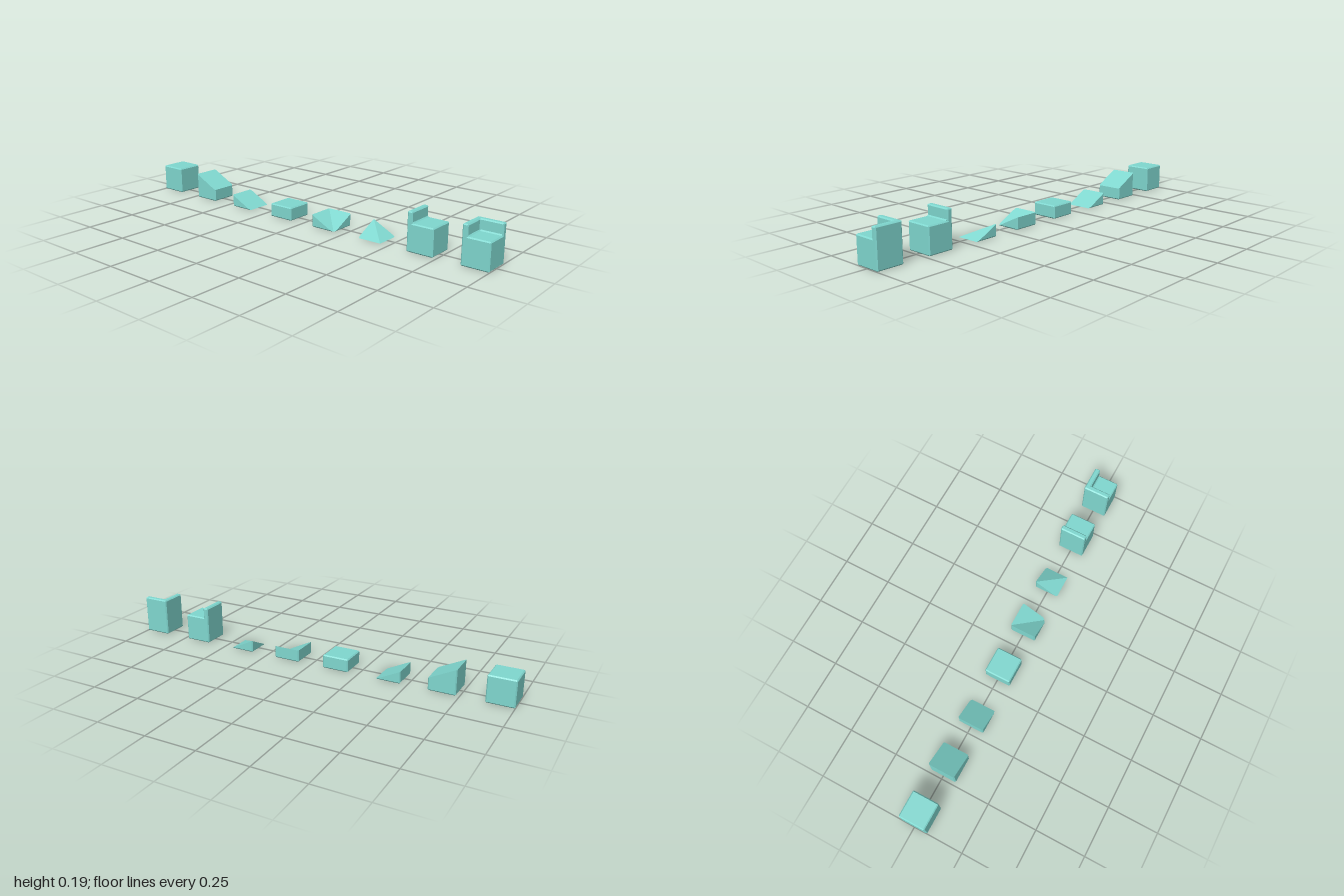
import * as THREE from 'three';
import { ConvexGeometry } from 'three/addons/geometries/ConvexGeometry.js';

const HALF = 5;      // half width of a tile; 75 units make 1
const BEVEL = 0.4;   // chamfer on every edge

// A plane [a, b, c, d] keeps the points where ax + by + cz <= d.
function solid(planes) {
  const points = [];
  const normals = planes.map(([a, b, c]) => new THREE.Vector3(a, b, c));
  const cross = (i, j) => new THREE.Vector3().crossVectors(normals[i], normals[j]);
  for (let i = 0; i < planes.length; i++)
    for (let j = i + 1; j < planes.length; j++)
      for (let k = j + 1; k < planes.length; k++) {
        const det = normals[i].dot(cross(j, k));
        if (Math.abs(det) < 1e-6) continue;
        const p = cross(j, k).multiplyScalar(planes[i][3])
          .addScaledVector(cross(k, i), planes[j][3])
          .addScaledVector(cross(i, j), planes[k][3])
          .divideScalar(det);
        const inside = planes.every((q, n) => normals[n].dot(p) <= q[3] + 1e-5);
        if (inside && !points.some((o) => o.distanceTo(p) < 1e-3)) points.push(p);
      }
  return new ConvexGeometry(points);
}

function boxPlanes(min, max) {
  const planes = [];
  for (let a = 0; a < 3; a++)
    for (const s of [-1, 1]) {
      const p = [0, 0, 0, s > 0 ? max[a] : -min[a]];
      p[a] = s;
      planes.push(p);
    }
  return planes;
}

// Box with all edges chamfered, or all but the bottom ones
function bevelPlanes(min, max, bottom = true) {
  const faces = boxPlanes(min, max);
  const planes = [...faces];
  for (let i = 0; i < 6; i++)
    for (let j = i + 1; j < 6; j++) {
      if (i >> 1 === j >> 1) continue;
      if (!bottom && (i === 2 || j === 2)) continue;
      const p = faces[i].map((v, n) => v + faces[j][n]);
      p[3] -= BEVEL;
      planes.push(p);
    }
  return planes;
}

const block = (height) => bevelPlanes([-HALF, 0, -HALF], [HALF, height, HALF]);
// Half-height slopes falling towards +x or +z
const slopeX = (height) => [0.5, 1, 0, height - BEVEL - HALF / 2];
const slopeZ = (height) => [0, 1, 0.5, height - BEVEL - HALF / 2];

// Walls along the left and back edges, and the small coves at their feet
const leftWall = bevelPlanes([-5, 10 - BEVEL, -5], [-3, 14, 5], false);
const backWall = bevelPlanes([-5, 10 - BEVEL, -5], [5, 14, -3], false);
const end = HALF - BEVEL;
const leftCove = [...boxPlanes([-3, 10, -end], [-2, 11, end]), [1, 1, 0, 7 + BEVEL]];
const backCove = [...boxPlanes([-end, 10, -3], [end, 11, -2]), [0, 1, 1, 7 + BEVEL]];
const cornerCove = [...boxPlanes([-3, 10, -3], [-2, 14 - BEVEL, -2]), [1, 0, 1, -6 + BEVEL]];

export function createModel() {
  const group = new THREE.Group();
  group.name = 'terrainTileSet';
  const teal = new THREE.MeshStandardMaterial({ color: 0x80d8d0 });
  teal.name = 'teal';

  // Each tile is a list of named convex pieces, in order from -x to +x
  const tiles = [
    ['fullBlock', { body: block(10) }],
    ['upperRamp', { body: [...block(10), slopeX(10)] }],
    ['lowerRamp', { body: [...block(5), slopeX(5)] }],
    ['halfBlock', { body: block(5) }],
    ['innerCornerRamp', {
      leftSlope: [...block(5), slopeX(5), [1, 0, -1, 0]],
      backSlope: [...block(5), slopeZ(5), [-1, 0, 1, 0]],
    }],
    ['outerCornerRamp', { body: [...block(5), slopeX(5), slopeZ(5)] }],
    ['walledBlock', { body: block(10), wall: leftWall, cove: leftCove }],
    ['cornerWalledBlock', {
      body: block(10), sideWall: leftWall, backWall,
      sideCove: leftCove, backCove, cornerCove,
    }],
  ];

  tiles.forEach(([name, pieces], i) => {
    const tile = new THREE.Group();
    tile.name = name;
    for (const [part, planes] of Object.entries(pieces)) {
      const mesh = new THREE.Mesh(solid(planes), teal);
      mesh.name = part;
      tile.add(mesh);
    }
    tile.position.x = (-70 + 20 * i) / 75;
    tile.scale.setScalar(1 / 75);
    group.add(tile);
  });
  return group;
}
